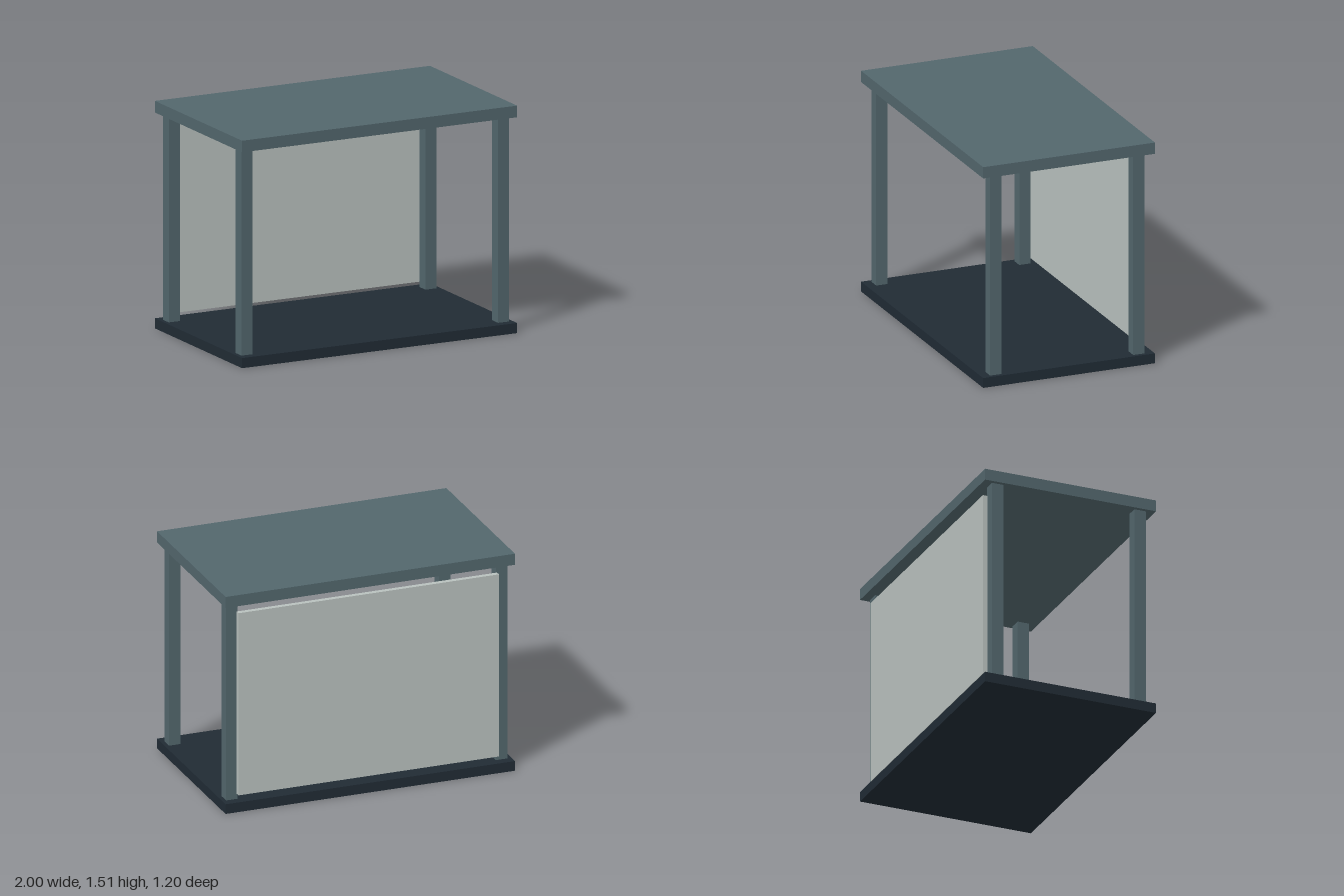
import * as THREE from 'three';

export function createModel() {
  const group = new THREE.Group();
  group.name = 'openShelter';

  const material = (name, color) => {
    const m = new THREE.MeshStandardMaterial({ color });
    m.name = name;
    return m;
  };
  const slate = material('slate grey', 0x52666c);
  const dark = material('dark blue grey', 0x202b34);
  const pale = material('pale grey', 0xb8c0bd);

  // Box given by its size, its bottom height and its centre in x and z
  const box = (name, mat, w, h, d, x, bottom, z) => {
    const mesh = new THREE.Mesh(new THREE.BoxGeometry(w, h, d), mat);
    mesh.name = name;
    mesh.position.set(x, bottom + h / 2, z);
    group.add(mesh);
  };

  // Floor slab and flat roof
  box('floor', dark, 2, 0.067, 1.2, 0, 0, 0);
  box('roof', slate, 2, 0.077, 1.2, 0, 1.43, 0);

  // Four corner posts
  for (const [sx, side] of [[1, 'Left'], [-1, 'Right']]) {
    for (const [sz, end] of [[1, 'front'], [-1, 'back']]) {
      box(`${end}${side}Post`, slate, 0.08, 1.363, 0.08, sx * 0.933, 0.067, sz * 0.5);
    }
  }

  // Back panel, fixed behind the rear posts with a gap above and below
  box('backPanel', pale, 1.8, 1.265, 0.033, 0, 0.103, -0.555);

  return group;
}
